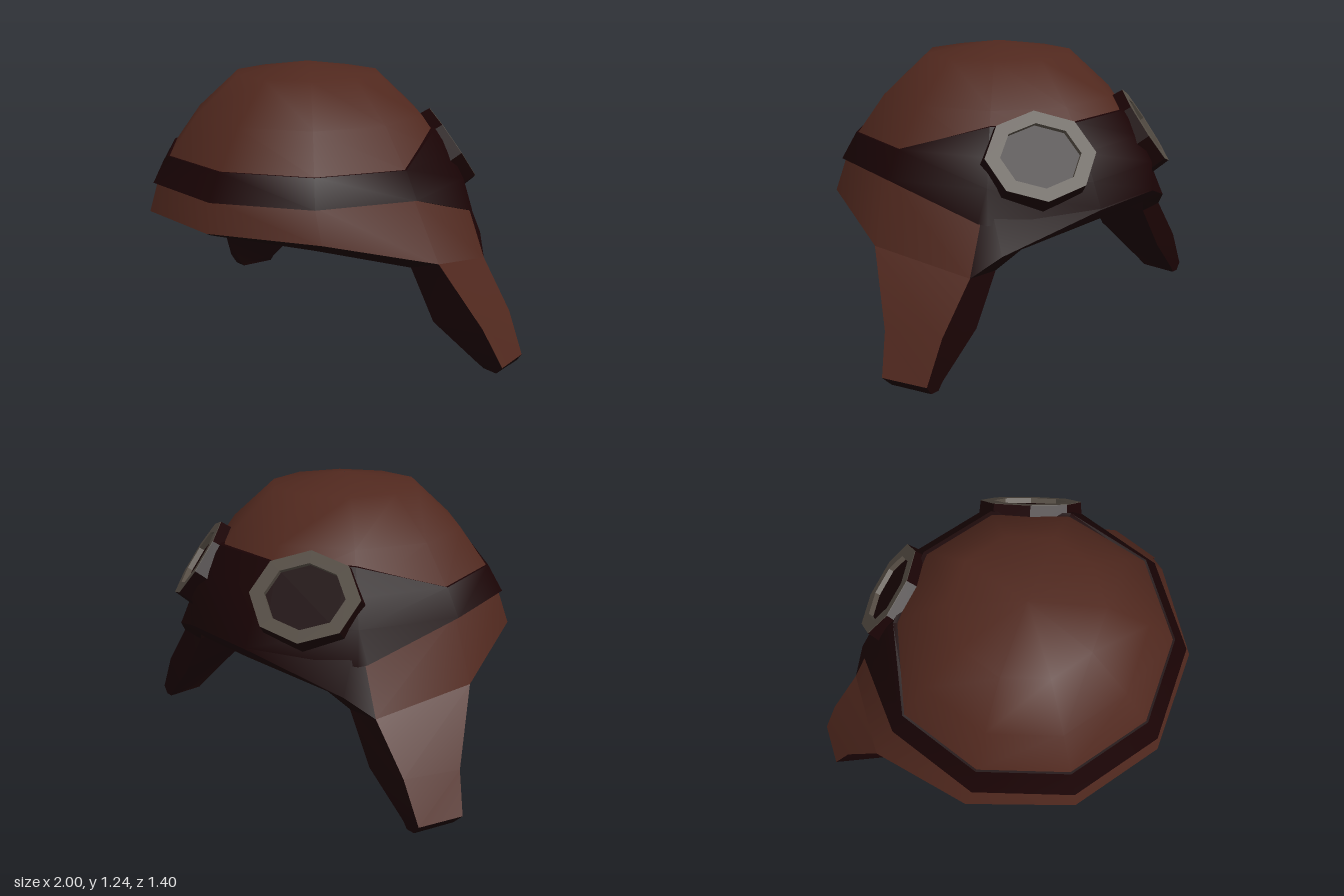
import * as THREE from 'three';
import { toCreasedNormals } from 'three/addons/utils/BufferGeometryUtils.js';

const leather = new THREE.MeshStandardMaterial({ color: 0x50281e });
leather.name = 'brown leather';
const trim = new THREE.MeshStandardMaterial({ color: 0x190304 });
trim.name = 'dark trim';
const metal = new THREE.MeshStandardMaterial({ color: 0x544c43 });
metal.name = 'grey metal';

// Skin rings of points, listed from top to bottom; isTrim(row, column) picks the dark faces
function loft(name, rings, isTrim, crease = 1) {
  const n = rings[0].length, brown = [], dark = [];
  for (let i = 0; i < rings.length - 1; i++) {
    for (let j = 0; j < n; j++) {
      const k = (j + 1) % n;
      const a = i * n + j, b = i * n + k, c = a + n, d = b + n;
      // diagonals are mirrored between the two halves
      const faces = j < n / 2 ? [a, c, d, a, d, b] : [a, c, b, b, c, d];
      (isTrim(i, j) ? dark : brown).push(...faces);
    }
  }
  const geo = new THREE.BufferGeometry();
  geo.setAttribute('position', new THREE.Float32BufferAttribute(rings.flat(2), 3));
  geo.setIndex([...brown, ...dark]);
  geo.addGroup(0, brown.length, 0);
  geo.addGroup(brown.length, dark.length, 1);
  const mesh = new THREE.Mesh(toCreasedNormals(geo, crease), [leather, trim]);
  mesh.name = name;
  return mesh;
}

const flipX = ([x, y, z]) => [-x, y, z];
const mirrorRing = (half) => [...half, ...half.map(flipX).reverse()];

// Columns of the left half, front to back; the back corner is doubled for the flap
const ANGLES = [72, 36, 0, -36, -36, -72].map(THREE.MathUtils.degToRad);
const column = (j, r, y) => [r * Math.cos(ANGLES[j]), y, r * Math.sin(ANGLES[j])];
const circle = (r, y) => mirrorRing(ANGLES.map((_, j) => column(j, r, y)));

// Uneven lower edges of the cap: outer rim and underside
const RIM = [[0.225, 0.615, 0.7], [0.62, 0.605, 0.42], [0.82, 0.49, -0.03],
  [0.7, 0.41, -0.435], [0.6, 0.49, -0.515], [0.2, 0.625, -0.7]];
const LOW = [[0.2, 0.595, 0.66], [0.55, 0.565, 0.4], [0.65, 0.43, -0.04],
  [0.55, 0.405, -0.44], [0.45, 0.485, -0.5], [0.15, 0.57, -0.66]];

function makeCap() {
  const rings = [
    circle(0.001, 1.242), circle(0.33, 1.193), circle(0.522, 1.018),
    circle(0.64, 0.855), circle(0.697, 0.745), mirrorRing(RIM),
  ];
  return loft('cap', rings, (i, j) => i === 4 && j >= 3 && j <= 7);
}

function makeLining() {
  const rings = [
    mirrorRing(RIM), mirrorRing(LOW), circle(0.55, 0.75),
    circle(0.47, 0.91), circle(0.28, 1.07), circle(0.001, 1.12),
  ];
  return loft('lining', rings, (i) => i < 2);
}

// Strap widens towards the back where it carries the goggles
function makeStrap() {
  const half = (front, back) => [0, 1, 2, 3, 4, 5].map((j) => column(j, ...(j < 3 ? front : back)));
  const top = half([0.65, 0.855], [0.58, 0.964]);
  const mid = half([0.65, 0.855], [0.653, 0.855]);
  const low = half([0.716, 0.74], [0.713, 0.745]);
  const hem = [...low.slice(0, 3), [0.63, 0.612, -0.417], [0.608, 0.605, -0.448], [0.2, 0.632, -0.703]];
  const inward = (ring) => ring.map(([x, y, z]) => [x * 0.96, y, z * 0.96]);
  const rings = [inward(top), top, mid, low, hem, inward(hem)].map(mirrorRing);
  return loft('strap', rings, () => true);
}

// Ear flap: cross-sections ordered outer front, outer back, inner back, inner front
function makeFlap(side) {
  const sections = [
    [RIM[2], RIM[3], LOW[3], LOW[2]],
    [[0.93, 0.2, -0.19], [0.86, 0.21, -0.432], [0.68, 0.2, -0.45], [0.77, 0.22, -0.06]],
    [[1, 0.04, -0.24], [0.945, 0.035, -0.428], [0.86, 0.03, -0.43], [0.88, 0.03, -0.22]],
    [[0.96, 0, -0.25], [0.92, 0, -0.428], [0.88, 0, -0.428], [0.89, 0, -0.25]],
    Array(4).fill([0.91, 0, -0.34]),
  ];
  const rings = side > 0 ? sections : sections.map((s) => s.map(flipX).reverse());
  const outer = side > 0 ? 0 : 2;
  return loft(side > 0 ? 'leftEarFlap' : 'rightEarFlap', rings, (i, j) => i > 1 || j !== outer);
}

function octagon(Type, rx, ry) {
  const path = new Type();
  for (let i = 0; i < 8; i++) {
    const a = (i * Math.PI) / 4;
    path[i ? 'lineTo' : 'moveTo'](rx * Math.cos(a), ry * Math.sin(a));
  }
  path.closePath();
  return path;
}

function makeGoggle(side) {
  const goggle = new THREE.Group();
  goggle.name = side > 0 ? 'leftGoggle' : 'rightGoggle';

  // dark padded cup around the frame
  const cupGeo = new THREE.CylinderGeometry(0.231, 0.241, 0.1, 8, 1, true);
  cupGeo.rotateY(Math.PI / 2);
  cupGeo.rotateX(Math.PI / 2);
  cupGeo.scale(1, 0.84, 1);
  const cup = new THREE.Mesh(toCreasedNormals(cupGeo, 0.3), trim);
  cup.name = 'goggleCup';

  // dark recessed lens
  const lens = new THREE.Mesh(new THREE.ShapeGeometry(octagon(THREE.Shape, 0.2, 0.17)), trim);
  lens.name = 'goggleLens';
  lens.position.z = 0.028;

  // metal frame, its outer wall sunk into the cup
  const shape = octagon(THREE.Shape, 0.231, 0.194);
  shape.holes.push(octagon(THREE.Path, 0.168, 0.139));
  const frame = new THREE.Mesh(
    new THREE.ExtrudeGeometry(shape, { depth: 0.03, bevelEnabled: false }), metal);
  frame.name = 'goggleFrame';
  frame.position.z = 0.022;

  goggle.add(cup, lens, frame);
  goggle.position.set(0.362 * side, 0.834, -0.504);
  goggle.lookAt(goggle.position.clone().add(new THREE.Vector3(0.48 * side, 0.56, -0.67)));
  return goggle;
}

export function createModel() {
  const model = new THREE.Group();
  model.name = 'flyingCap';
  model.add(makeCap(), makeLining(), makeStrap());
  for (const side of [1, -1]) model.add(makeFlap(side), makeGoggle(side));
  return model;
}
